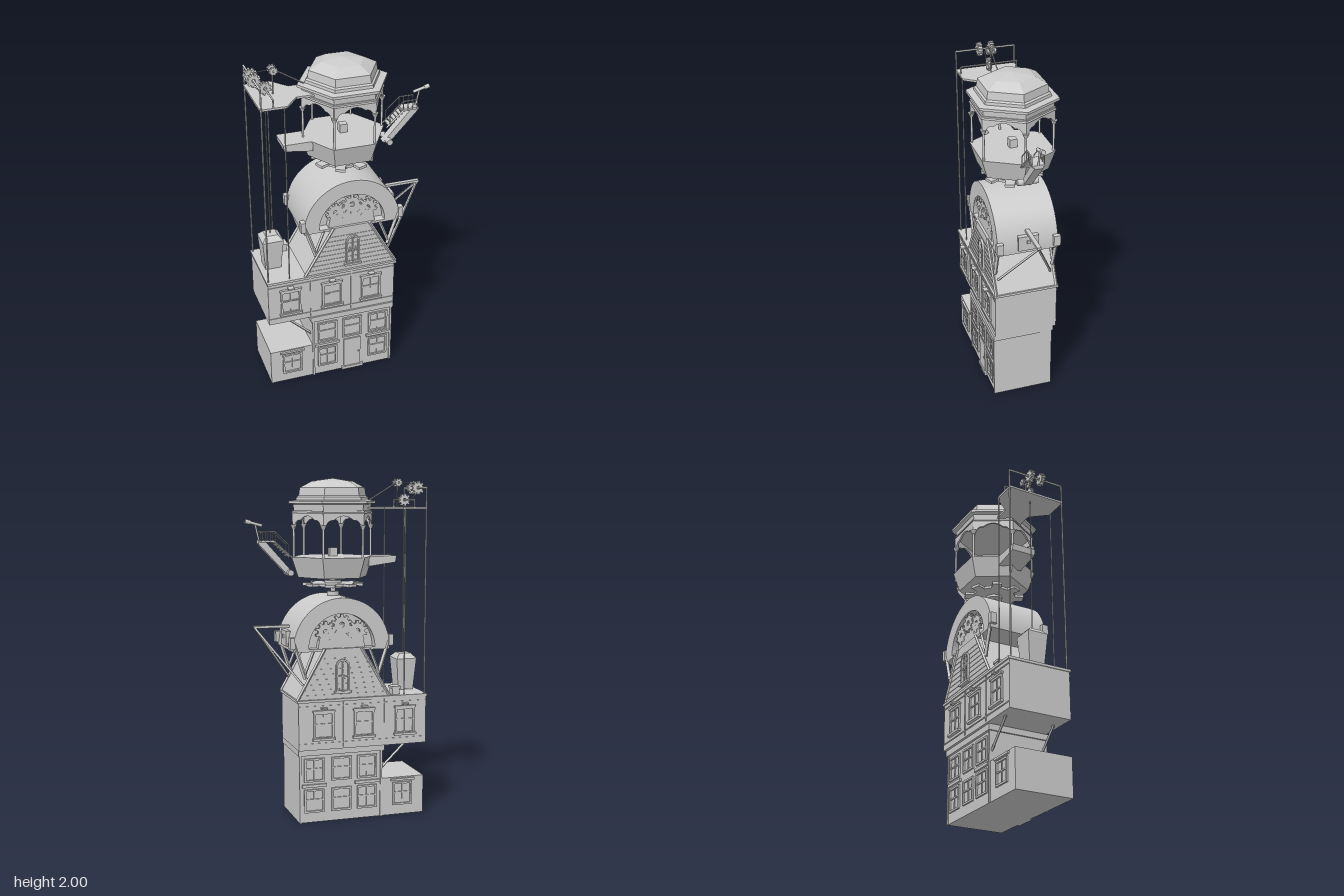
import * as THREE from 'three';

const mat = new THREE.MeshStandardMaterial({ color: 0xcccccc, flatShading: true });
const smooth = new THREE.MeshStandardMaterial({ color: 0xcccccc });
const V = (x, y, z) => new THREE.Vector3(x, y, z);

function add(parent, name, geo, x = 0, y = 0, z = 0, m = mat) {
  const mesh = new THREE.Mesh(geo, m);
  mesh.name = name;
  mesh.position.set(x, y, z);
  parent.add(mesh);
  return mesh;
}
function group(parent, name) {
  const g = new THREE.Group();
  g.name = name;
  parent.add(g);
  return g;
}
// Box given by its limits on each axis
function box(parent, name, x0, x1, y0, y1, z0, z1) {
  return add(parent, name, new THREE.BoxGeometry(x1 - x0, y1 - y0, Math.abs(z1 - z0)),
    (x0 + x1) / 2, (y0 + y1) / 2, (z0 + z1) / 2);
}
// Round or square bar between two points
function rod(parent, name, a, b, r = 0.006, sides = 8) {
  const d = b.clone().sub(a);
  const m = add(parent, name, new THREE.CylinderGeometry(r, r, d.length(), sides), 0, 0, 0, sides > 4 ? smooth : mat);
  m.position.copy(a).add(b).multiplyScalar(0.5);
  m.quaternion.setFromUnitVectors(V(0, 1, 0), d.normalize());
  return m;
}
const poly = pts => new THREE.Shape(pts.map(p => new THREE.Vector2(...p)));
// Extrusion centred on its own depth
function slab(shape, depth) {
  return new THREE.ExtrudeGeometry(shape, { depth, bevelEnabled: false, curveSegments: 24 }).translate(0, 0, -depth / 2);
}
function gear(r, teeth, depth, inner = 0.74, hole = 0.25) {
  const pts = [];
  for (let i = 0; i < teeth; i++) {
    [[0, inner], [0.22, inner], [0.3, 1], [0.7, 1], [0.78, inner]].forEach(([t, k]) => {
      const a = (i + t) / teeth * Math.PI * 2;
      pts.push([Math.cos(a) * r * k, Math.sin(a) * r * k]);
    });
  }
  const s = poly(pts);
  s.holes.push(new THREE.Path().absarc(0, 0, r * hole, 0, Math.PI * 2, true));
  return slab(s, depth);
}
function arch(r1, r0) {
  const s = new THREE.Shape();
  s.absarc(0, 0, r1, 0, Math.PI, false);
  if (r0) s.absarc(0, 0, r0, Math.PI, 0, true);
  return s;
}
// Framed window with glazing bars; s is the facing side
function windowUnit(parent, cx, y0, y1, w, zf, s, sill = true) {
  const g = group(parent, 'window'), x0 = cx - w / 2, x1 = cx + w / 2, t = 0.011, za = s * zf, zb = s * (zf + 0.01);
  box(g, 'windowJamb', x0, x0 + t, y0, y1, za, zb);
  box(g, 'windowJamb', x1 - t, x1, y0, y1, za, zb);
  box(g, 'windowHead', x0, x1, y1 - t, y1, za, zb);
  box(g, 'windowFoot', x0, x1, y0, y0 + t, za, zb);
  box(g, 'mullion', cx - 0.003, cx + 0.003, y0, y1, za, s * (zf + 0.006));
  const ym = y0 + (y1 - y0) * 0.55;
  box(g, 'transom', x0, x1, ym - 0.004, ym + 0.004, za, s * (zf + 0.007));
  if (sill) {
    box(g, 'sill', x0 - 0.008, x1 + 0.008, y0 - 0.008, y0 + 0.006, za, s * (zf + 0.02));
    box(g, 'lintel', x0 - 0.006, x1 + 0.006, y1, y1 + 0.012, za, s * (zf + 0.014));
  }
}

function house(root) {
  const g = group(root, 'house');
  box(g, 'lowerStorey', -0.245, 0.265, 0, 0.42, -0.16, 0.19);
  box(g, 'annex', -0.51, -0.245, 0, 0.23, -0.16, 0.19);
  box(g, 'cornice', -0.255, 0.272, 0.405, 0.44, -0.175, 0.2);
  box(g, 'upperStorey', -0.51, 0.275, 0.44, 0.73, -0.19, 0.19);
  box(g, 'roofEdge', -0.515, 0.285, 0.722, 0.737, -0.198, 0.198);
  box(g, 'chimney', -0.35, -0.305, 0.73, 0.775, -0.17, -0.12);
  box(g, 'chimneyCap', -0.356, -0.299, 0.772, 0.786, -0.176, -0.114);
  add(g, 'gable', slab(poly([[-0.28, 0.73], [0.28, 0.73], [0.115, 1.03], [-0.105, 1.03]]), 0.37));

  for (const [s, zf] of [[1, 0.19], [-1, 0.16]]) {
    // Lower storey facade
    for (const x of [-0.15, 0.008, 0.175]) windowUnit(g, x, 0.245, 0.385, 0.122, zf, s, false);
    for (const x of [-0.15, 0.175]) windowUnit(g, x, 0.06, 0.2, 0.122, zf, s, false);
    windowUnit(g, -0.375, 0.06, 0.2, 0.122, zf, s, false);
    for (const [a, b] of [[-0.23, -0.075], [0.1, 0.25]]) box(g, 'stringCourse', a, b, 0.213, 0.23, s * zf, s * (zf + 0.012));
    box(g, 'annexLintel', -0.45, -0.3, 0.21, 0.223, s * zf, s * (zf + 0.012));
    for (const x of [-0.245, 0.253]) box(g, 'pilaster', x, x + 0.012, 0, 0.405, s * zf, s * (zf + 0.008));
    if (s > 0) {
      box(g, 'door', -0.045, 0.062, 0.02, 0.225, zf, zf + 0.008);
      box(g, 'doorStep', -0.06, 0.08, 0, 0.02, zf, zf + 0.015);
      add(g, 'doorKnob', new THREE.SphereGeometry(0.005, 10, 8), 0.048, 0.12, zf + 0.011, smooth);
    } else windowUnit(g, 0.008, 0.06, 0.2, 0.122, zf, s, false);
    // Upper storey windows with small lamps over them
    for (const x of [-0.375, -0.12, 0.125]) {
      windowUnit(g, x, 0.505, 0.662, 0.122, 0.19, s);
      box(g, 'lamp', x - 0.018, x + 0.018, 0.681, 0.69, s * 0.19, s * 0.218);
    }
    for (const x of [-0.25, 0.003]) box(g, 'wallBatten', x - 0.004, x + 0.004, 0.45, 0.72, s * 0.19, s * 0.194);
    for (const y of [0.475, 0.695]) box(g, 'wallRail', -0.51, 0.275, y, y + 0.006, s * 0.19, s * 0.194);
    // Gable boards, barge boards and arched window
    for (let y = 0.76; y < 1.0; y += 0.03) {
      const k = (y - 0.73) / 0.3;
      box(g, 'gableBoard', -0.28 + 0.175 * k, 0.28 - 0.165 * k, y, y + 0.004, s * 0.185, s * 0.188);
    }
    rod(g, 'bargeBoard', V(-0.283, 0.733, s * 0.185), V(-0.106, 1.03, s * 0.185), 0.009, 4);
    rod(g, 'bargeBoard', V(0.283, 0.733, s * 0.185), V(0.116, 1.03, s * 0.185), 0.009, 4);
    const frame = new THREE.Shape();
    frame.absarc(0, 0.15, 0.042, 0, Math.PI, false);
    frame.lineTo(-0.042, 0); frame.lineTo(0.042, 0);
    const hole = new THREE.Path();
    hole.absarc(0, 0.15, 0.032, 0, Math.PI, false);
    hole.lineTo(-0.032, 0.01); hole.lineTo(0.032, 0.01);
    frame.holes.push(hole);
    add(g, 'gableWindowFrame', slab(frame, 0.018), 0.01, 0.775, s * 0.19);
    box(g, 'gableMullion', 0.007, 0.013, 0.78, 0.96, s * 0.185, s * 0.194);
    box(g, 'gableTransom', -0.03, 0.05, 0.865, 0.873, s * 0.185, s * 0.195);
    box(g, 'gableSill', -0.042, 0.062, 0.768, 0.781, s * 0.185, s * 0.205);
    rod(g, 'overhangBrace', V(-0.4, 0.445, s * 0.15), V(-0.24, 0.29, s * 0.15), 0.008, 4);
  }
}

function drum(root) {
  const g = group(root, 'gearDrum'), cy = 1.03;
  add(g, 'drumCore', slab(arch(0.289), 0.26), 0.01, cy, 0);
  box(g, 'drumBase', -0.28, 0.3, 1.015, cy, -0.18, 0.18);
  add(g, 'drumShell', new THREE.CylinderGeometry(0.291, 0.291, 0.36, 48, 1, true, -Math.PI / 2, Math.PI)
    .rotateX(-Math.PI / 2), 0.01, cy, 0, smooth);
  for (const s of [1, -1]) {
    add(g, 'drumRim', slab(arch(0.29, 0.2), 0.05), 0.01, cy, s * 0.155);
    add(g, 'hubPanel', slab(arch(0.14), 0.04), 0.01, cy, s * 0.15);
    [45, 90, 135].forEach((d, i) => {
      const a = d * Math.PI / 180;
      add(g, 'drumGear', gear(0.062, 10, 0.018), 0.01 + Math.cos(a) * 0.135, cy + Math.sin(a) * 0.135, s * (0.163 + i % 2 * 0.004));
    });
    // Supporting struts at each corner
    for (const x of [-1, 1]) {
      const X = v => 0.01 + x * v;
      rod(g, 'drumStrut', V(X(0.285), 1.06, s * 0.175), V(X(0.22), 0.86, s * 0.175), 0.012, 4);
      rod(g, 'drumBrace', V(X(0.17), 1.02, s * 0.175), V(X(0.225), 0.88, s * 0.175), 0.009, 4);
      box(g, 'strutBlock', X(0.297) - 0.014, X(0.297) + 0.014, 1.035, 1.1, s * 0.15, s * 0.19);
    }
    rod(g, 'hoistBrace', V(0.48, 1.14, 0), V(0.24, 0.82, s * 0.16), 0.008, 4);
  }
  box(g, 'hoistBeam', 0.28, 0.49, 1.14, 1.155, -0.012, 0.012);
  box(g, 'hoistHatch', 0.28, 0.312, 1.035, 1.125, -0.06, 0.06);
  box(g, 'hatchKnob', 0.31, 0.32, 1.08, 1.1, -0.01, 0.01);
  // Turning shaft with a flat cog
  for (const [r, a, b] of [[0.015, 1.3, 1.44], [0.035, 1.315, 1.345], [0.05, 1.365, 1.41]])
    add(g, 'turningShaft', new THREE.CylinderGeometry(r, r, b - a, 20), 0.01, (a + b) / 2, 0, smooth);
  add(g, 'turningCog', gear(0.18, 8, 0.016, 0.72, 0.1).rotateX(Math.PI / 2), 0.01, 1.387, 0);
}

function pavilion(root) {
  const g = group(root, 'pavilion');
  g.position.x = 0.012;
  const hex = (r1, r0, h) => new THREE.CylinderGeometry(r1, r0, h, 6, 1, false, Math.PI / 6);
  add(g, 'bowl', hex(0.25, 0.21, 0.12), 0, 1.49, 0);
  add(g, 'console', new THREE.BoxGeometry(0.045, 0.05, 0.045), 0, 1.575, 0);
  add(g, 'spoutBalcony', slab(poly([[-0.372, 1.55], [-0.2, 1.55], [-0.2, 1.49], [-0.365, 1.512]]), 0.15));
  const roof = [[0, 1.8], [0.25, 1.8], [0.235, 1.815], [0.238, 1.85], [0.265, 1.855], [0.265, 1.87], [0.22, 1.875],
    [0.218, 1.892], [0.205, 1.9], [0.198, 1.945], [0.125, 1.983], [0, 2]].map(p => new THREE.Vector2(...p));
  add(g, 'roof', new THREE.LatheGeometry(roof, 6, Math.PI / 6));
  // Scalloped valance panel, one per side
  const v = new THREE.Shape();
  v.moveTo(-0.12, 0.08); v.lineTo(-0.12, -0.02); v.lineTo(-0.105, -0.015);
  v.quadraticCurveTo(-0.095, 0.03, -0.06, 0.025);
  v.quadraticCurveTo(0, 0.075, 0.06, 0.025);
  v.quadraticCurveTo(0.095, 0.03, 0.105, -0.015);
  v.lineTo(0.12, -0.02); v.lineTo(0.12, 0.08);
  for (let i = 0; i < 6; i++) {
    const a = i * Math.PI / 3, x = Math.cos(a) * 0.235, z = Math.sin(a) * 0.235;
    rod(g, 'post', V(x, 1.55, z), V(x, 1.8, z), 0.007);
    add(g, 'postCapital', new THREE.CylinderGeometry(0.02, 0.009, 0.025, 8), x, 1.722, z, smooth);
    const side = group(g, 'valanceSide');
    side.rotation.y = a;
    add(side, 'valance', slab(v, 0.012), 0, 1.735, 0.205);
  }
}

function lookout(root) {
  const g = group(root, 'lookout');
  box(g, 'landing', 0.36, 0.46, 1.635, 1.647, -0.035, 0.035);
  add(g, 'stairBeam', slab(poly([[0.25, 1.45], [0.285, 1.44], [0.46, 1.625], [0.46, 1.647], [0.42, 1.64]]), 0.05));
  add(g, 'stairFoot', new THREE.CylinderGeometry(0.018, 0.018, 0.12, 12).rotateX(Math.PI / 2), 0.28, 1.46, 0, smooth);
  for (let i = 0; i < 6; i++) {
    const x = 0.275 + i * 0.016, y = 1.555 + i * 0.015;
    box(g, 'stairTread', x, x + 0.022, y, y + 0.007, -0.035, 0.035);
  }
  for (const z of [-0.035, 0.035]) {
    rod(g, 'stairStringer', V(0.265, 1.545, z), V(0.37, 1.64, z), 0.005, 4);
    rod(g, 'stairRail', V(0.285, 1.62, z), V(0.365, 1.695, z), 0.003);
    rod(g, 'landingRail', V(0.365, 1.695, z), V(0.45, 1.695, z), 0.004);
    for (const x of [0.365, 0.393, 0.422, 0.45]) rod(g, 'baluster', V(x, 1.64, z), V(x, 1.695, z), 0.003);
    rod(g, 'stairNewel', V(0.285, 1.55, z), V(0.285, 1.62, z), 0.003);
  }
  rod(g, 'telescopeStand', V(0.452, 1.64, 0), V(0.475, 1.74, 0), 0.006);
  rod(g, 'telescope', V(0.435, 1.73, 0), V(0.51, 1.75, 0), 0.009, 12);
  rod(g, 'telescopeHood', V(0.505, 1.748, 0), V(0.533, 1.756, 0), 0.013, 12);
}

function lift(root) {
  const g = group(root, 'lift');
  const deck = poly([[-0.51, -0.18], [-0.36, -0.18], [-0.28, -0.08], [-0.15, -0.08], [-0.15, 0.08], [-0.28, 0.08], [-0.36, 0.18], [-0.51, 0.18]]);
  add(g, 'liftDeck', slab(deck, 0.012).rotateX(Math.PI / 2), 0, 1.828, 0);
  for (const z of [-0.178, 0.178]) {
    rod(g, 'liftPole', V(-0.503, 0.73, z), V(-0.503, 1.945, z), 0.005);
    rod(g, 'liftPole', V(-0.375, 0.73, z), V(-0.375, 1.83, z), 0.004);
  }
  rod(g, 'mainAxle', V(-0.503, 1.945, -0.18), V(-0.503, 1.945, 0.18), 0.006);
  rod(g, 'lowerAxle', V(-0.433, 1.875, -0.17), V(-0.433, 1.875, 0.17), 0.005);
  for (const z of [-0.17, 0.17]) rod(g, 'axleStand', V(-0.433, 1.83, z), V(-0.433, 1.875, z), 0.005);
  for (const z of [-0.036, 0.036]) {
    add(g, 'liftGear', gear(0.04, 9, 0.026), -0.503, 1.945, z);
    add(g, 'smallGear', gear(0.025, 8, 0.014), -0.388, 1.975, z * 0.6);
  }
  add(g, 'liftGear', gear(0.038, 9, 0.02), -0.433, 1.875, 0);
  rod(g, 'gearPost', V(-0.388, 1.83, 0), V(-0.388, 1.975, 0), 0.004);
  rod(g, 'smallAxle', V(-0.388, 1.975, -0.03), V(-0.388, 1.975, 0.03), 0.005);
  rod(g, 'driveRod', V(-0.388, 1.98, 0), V(-0.19, 1.86, 0), 0.004);
  rod(g, 'chain', V(-0.5, 1.97, 0), V(-0.39, 1.98, 0), 0.002);
  rod(g, 'chain', V(-0.52, 1.92, 0), V(-0.45, 1.85, 0), 0.002);
  rod(g, 'liftRope', V(-0.435, 0.95, 0), V(-0.435, 1.87, 0), 0.003);
  // Four-sided hanging cabin
  const q = Math.SQRT1_2;
  const cabin = (n, r1, r0, y0, y1) => add(g, n, new THREE.CylinderGeometry(r1 / q, r0 / q, y1 - y0, 4, 1, false, Math.PI / 4), -0.435, (y0 + y1) / 2, 0);
  cabin('liftCabin', 0.063, 0.047, 0.74, 0.93);
  cabin('liftCabinRoof', 0.035, 0.063, 0.93, 0.96);
}

export function createModel() {
  const root = new THREE.Group();
  root.name = 'clockworkTower';
  [house, drum, pavilion, lookout, lift].forEach(build => build(root));
  return root;
}
